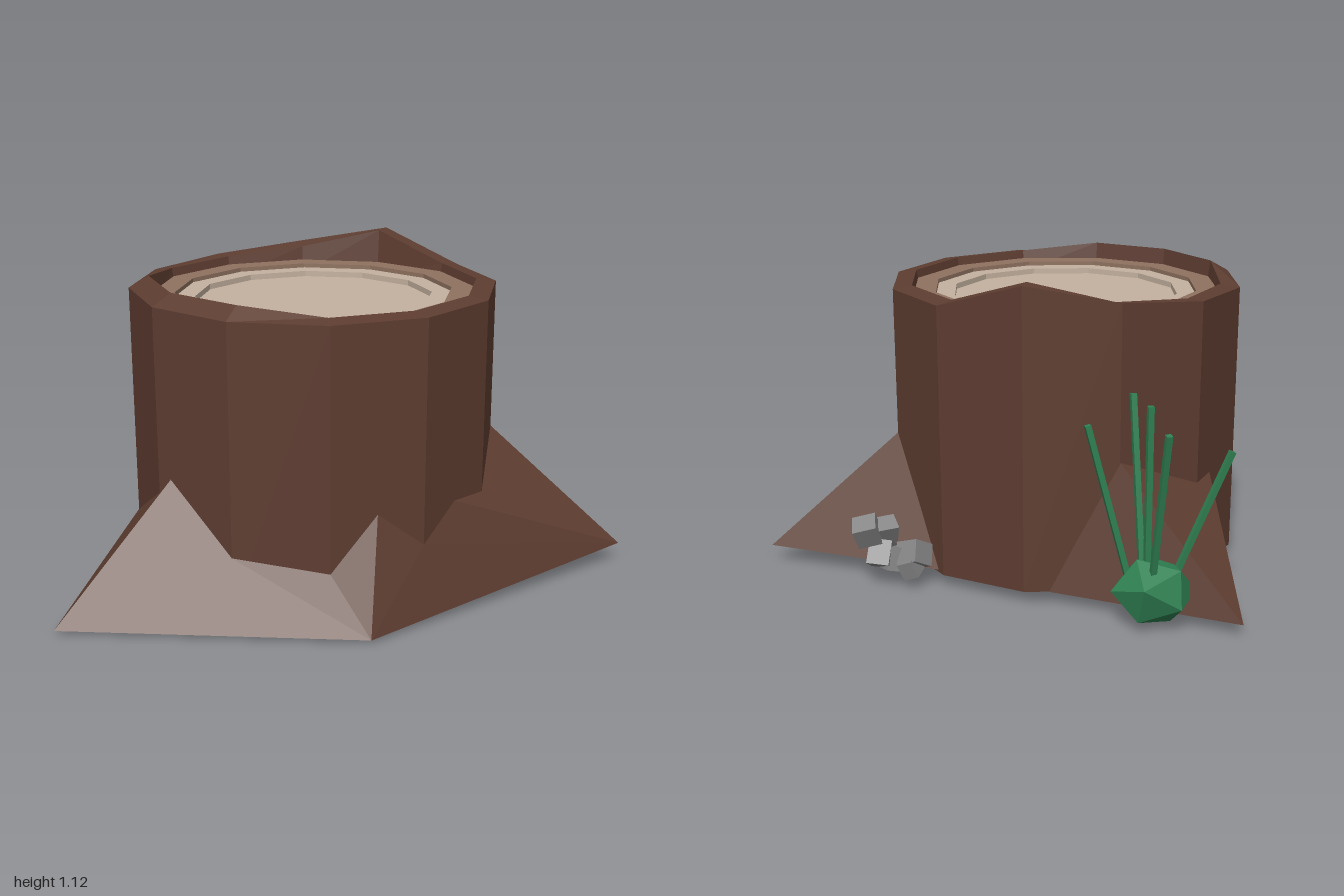
import * as THREE from 'three';

const CX = -0.1, CZ = 0.13, R = 0.638, SIDES = 12, BASE = 0.05;
const RAD = Math.PI / 180;

function material(color, extra = {}) {
  return new THREE.MeshStandardMaterial({ color, flatShading: true, roughness: 1, ...extra });
}
const bark = material(0x5e3d31, { side: THREE.DoubleSide });
const barkDark = material(0x8f7260);
const wood = material(0xc4b2a0);
const leaf = material(0x2f8052);
const stone = material(0x858585);

function addMesh(parent, name, geometry, mat) {
  const mesh = new THREE.Mesh(geometry, mat);
  mesh.name = name;
  parent.add(mesh);
  return mesh;
}

// Geometry from a flat list of triangle corners
function fromTriangles(corners) {
  const g = new THREE.BufferGeometry().setFromPoints(corners);
  g.computeVertexNormals();
  return g;
}

// Point around the trunk axis; angles run from +x towards +z
function polar(deg, r, y) {
  return new THREE.Vector3(CX + r * Math.cos(deg * RAD), y, CZ + r * Math.sin(deg * RAD));
}

// Point on the flat-sided trunk wall
function onTrunk(deg, y) {
  const local = ((deg % 30) + 30) % 30 - 15;
  return polar(deg, (R - 0.004) * Math.cos(15 * RAD) / Math.cos(local * RAD), y);
}

// Trunk wall, uneven rim and inner lip, lofted ring by ring
function trunkGeometry() {
  const outer = [1.03, 1.03, 1.03, 1.03, 1.03, 1.03, 1.03, 1.03, 1.04, 1.07, 1.13, 1.03];
  const inner = [1.04, 1.04, 1.04, 1.04, 1.07, 1.07, 1.07, 1.04, 1.04, 1.06, 1.13, 1.04];
  const ring = (r, h) => Array.from({ length: SIDES }, (_, k) => polar(k * 30, r, h(k)));
  const rings = [
    ring(0, () => BASE), ring(0.632, () => BASE), ring(0.642, k => outer[k]),
    ring(0.572, k => inner[k]), ring(0.558, () => 0.96),
  ];
  const tris = [];
  for (let i = 0; i < rings.length - 1; i++) {
    for (let k = 0; k < SIDES; k++) {
      const n = (k + 1) % SIDES;
      const [a, b, c, d] = [rings[i][k], rings[i][n], rings[i + 1][k], rings[i + 1][n]];
      if (i > 0) tris.push(a, c, b);
      tris.push(b, c, d);
    }
  }
  return fromTriangles(tris);
}

// Root flare: each tip fans to the line [angle, height] where it meets the trunk
function rootGeometry(fans) {
  const tris = [];
  const wall = fans.map(f => f.line.map(([deg, y]) => onTrunk(deg, y)));
  fans.forEach((f, i) => {
    const line = wall[i];
    for (let k = 0; k < line.length - 1; k++) tris.push(f.tip, line[k], line[k + 1]);
    if (i < fans.length - 1) tris.push(f.tip, line[line.length - 1], fans[i + 1].tip);
  });
  // underside
  const centre = new THREE.Vector3(CX, BASE - 0.005, CZ);
  const edge = [wall[0][0], ...fans.map(f => f.tip), wall.at(-1).at(-1)];
  for (let k = 0; k < edge.length - 1; k++) tris.push(centre, edge[k], edge[k + 1]);
  return fromTriangles(tris);
}

// Thin square blade between two points
function addBlade(parent, from, to) {
  const dir = to.clone().sub(from);
  const blade = addMesh(parent, 'grassBlade', new THREE.BoxGeometry(0.02, dir.length(), 0.02), leaf);
  blade.position.copy(from).addScaledVector(dir, 0.5);
  blade.quaternion.setFromUnitVectors(new THREE.Vector3(0, 1, 0), dir.normalize());
}

export function createModel() {
  const model = new THREE.Group();
  model.name = 'treeStump';
  const v = (x, y, z) => new THREE.Vector3(x, y, z);

  addMesh(model, 'trunk', trunkGeometry(), bark);

  // Roots: joined front skirt and a separate back root
  addMesh(model, 'frontRoots', rootGeometry([
    { tip: v(1, 0.07, 0.24), line: [[-27, 0.06], [0, 0.5], [30, 0.36], [45, 0.37], [60, 0.26]] },
    { tip: v(0.02, 0.02, 0.89), line: [[60, 0.26], [75, 0.39], [90, 0.2], [120, 0.235]] },
    { tip: v(-1, 0.02, 0.72), line: [[120, 0.235], [145, 0.45], [180, 0.22], [199, 0.05]] },
  ]), bark);
  addMesh(model, 'backRoot', rootGeometry([
    { tip: v(-0.4, 0.05, -0.9), line: [[229, 0.05], [230, 0.4], [270, 0.52], [292, 0.05]] },
  ]), bark);

  // Cut face: stepped growth rings
  const cut = (name, profile, mat) => {
    const pts = profile.map(([r, y]) => new THREE.Vector2(r, y));
    addMesh(model, name, new THREE.LatheGeometry(pts, SIDES), mat).position.set(CX, 0, CZ);
  };
  cut('outerGrowthRing', [[0.566, 1.01], [0.485, 1.01], [0.485, 0.99]], barkDark);
  cut('innerGrowthRings', [[0.485, 0.995], [0.415, 0.995], [0.415, 0.975], [0, 0.975]], wood);

  // Bush with grass blades
  const plant = new THREE.Group();
  plant.name = 'plant';
  model.add(plant);
  const bush = addMesh(plant, 'bush', new THREE.IcosahedronGeometry(0.145, 0), leaf);
  bush.position.set(-0.155, 0.125, -0.705);
  bush.scale.set(1.05, 0.85, 1);
  bush.rotation.set(0.3, 0.5, 0.1);
  const tips = [
    v(-0.13, 0.77, -0.545), v(-0.13, 0.72, -0.885), v(-0.41, 0.6, -0.74),
    v(0.07, 0.71, -0.67), v(-0.13, 0.77, -0.715),
  ];
  for (const tip of tips) {
    const root = v(-0.13, 0.03, -0.7).lerp(v(tip.x, 0.03, tip.z), 0.12);
    addBlade(plant, root, tip);
  }

  // Cluster of small rocks: position, size, turn
  const rocks = [
    [0.54, 0.12, -0.13, 0.09, 0.4], [0.6, 0.1, -0.1, 0.085, 1.1],
    [0.65, 0.12, -0.09, 0.09, 2.0], [0.7, 0.21, -0.09, 0.085, 0.7],
    [0.63, 0.2, -0.07, 0.075, 2.7], [0.56, 0.085, -0.16, 0.065, 1.6],
  ];
  for (const [x, y, z, size, turn] of rocks) {
    const rock = addMesh(model, 'rock', new THREE.BoxGeometry(size, size * 0.9, size), stone);
    rock.position.set(x, y, z);
    rock.rotation.set(turn, turn * 1.7, turn * 0.6);
  }
  return model;
}
